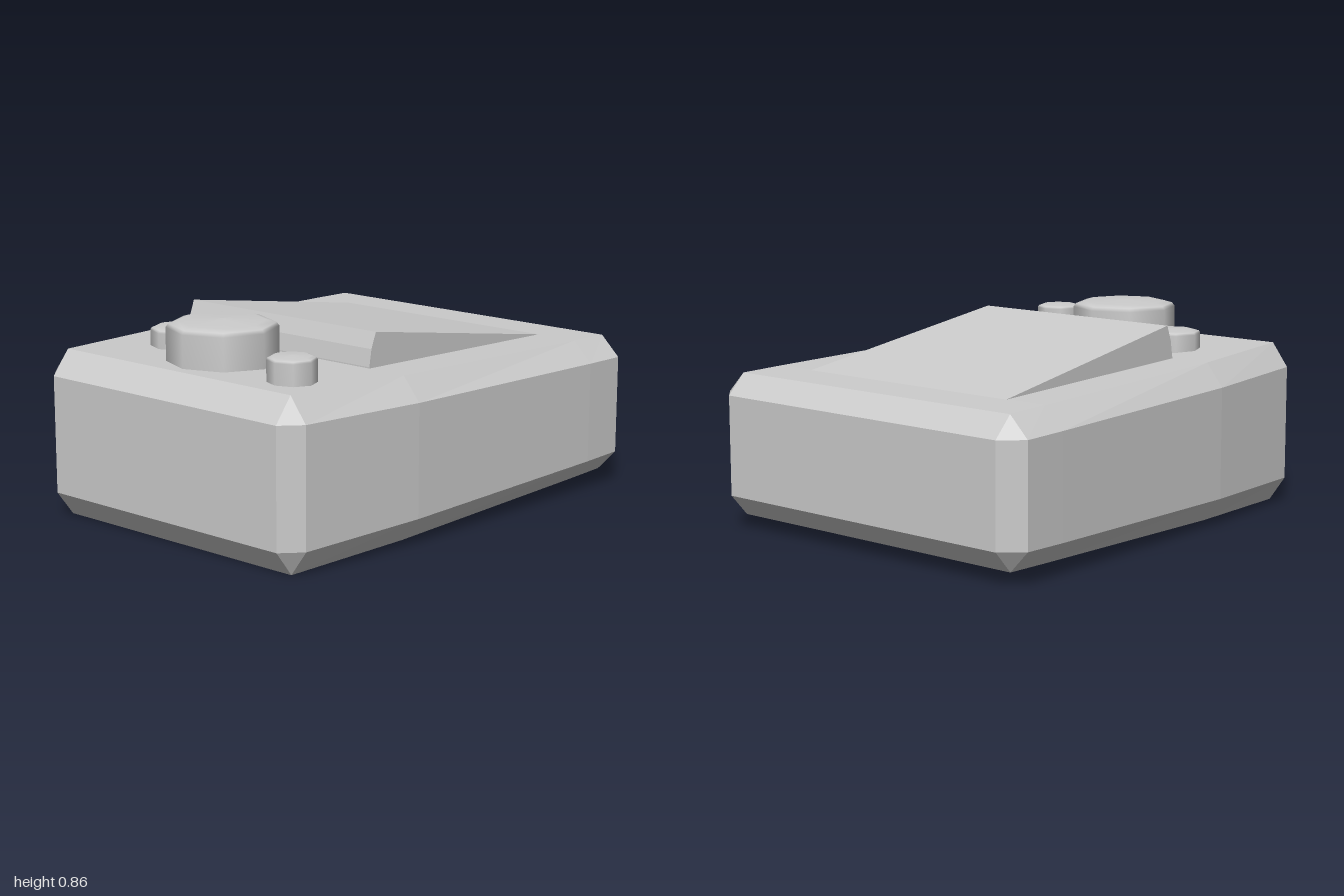
import * as THREE from 'three';

const grey = new THREE.MeshStandardMaterial({ color: 0xcccccc });
const flatGrey = new THREE.MeshStandardMaterial({ color: 0xcccccc, flatShading: true });

// Skin rings of points (counter-clockwise seen from the front, ordered front to back) and cap both ends
function loft(rings) {
  const out = [];
  const tri = (a, b, c) => {
    const area = new THREE.Triangle(a, b, c).getArea();
    if (area > 1e-7) for (const p of [a, b, c]) out.push(p.x, p.y, p.z);
  };
  const n = rings[0].length;
  for (let i = 0; i < rings.length - 1; i++) {
    for (let j = 0; j < n; j++) {
      const k = (j + 1) % n;
      const [a, b, c, d] = [rings[i][j], rings[i][k], rings[i + 1][k], rings[i + 1][j]];
      tri(a, d, c);
      tri(a, c, b);
    }
  }
  const first = rings[0], last = rings[rings.length - 1];
  for (let j = 1; j < n - 1; j++) {
    tri(first[0], first[j], first[j + 1]);
    tri(last[0], last[j + 1], last[j]);
  }
  const geo = new THREE.BufferGeometry();
  geo.setAttribute('position', new THREE.Float32BufferAttribute(out, 3));
  geo.computeVertexNormals();
  return geo;
}

// Mirror the right half of a ring (listed bottom to top) to close it
function mirrorRing(half, z) {
  const right = half.map(([x, y]) => new THREE.Vector3(x, y, z));
  const left = half.map(([x, y]) => new THREE.Vector3(-x, y, z)).reverse();
  return [...right, ...left];
}

// Chamfered section: inner and outer half width, bottom, lower edge, upper edge, top
const section = (z, inner, outer, yb, y1, y2, yt) =>
  mirrorRing([[inner, yb], [outer, y1], [outer, y2], [inner, yt]], z);

function addMesh(group, name, geometry, material) {
  const mesh = new THREE.Mesh(geometry, material);
  mesh.name = name;
  group.add(mesh);
  return mesh;
}

// Eight-sided, softly domed knob
function addKnob(group, name, x, z, radius, top, dome) {
  const base = 0.62;
  const profile = [
    [radius, base],
    [radius, top - dome * 1.1],
    [radius * 0.95, top - dome * 0.6],
    [radius * 0.78, top - dome * 0.25],
    [0, top],
  ].map(([r, y]) => new THREE.Vector2(r, y));
  addMesh(group, name, new THREE.LatheGeometry(profile, 8), grey).position.set(x, 0, z);
}

export function createModel() {
  const model = new THREE.Group();
  model.name = 'handheldConsole';

  // Tapered body; the end sections collapse to rectangles to form the corner chamfers
  addMesh(model, 'body', loft([
    section(1.0, 0.605, 0.605, 0.105, 0.105, 0.59, 0.59),
    section(0.92, 0.605, 0.68, 0, 0.105, 0.59, 0.69),
    section(0.35, 0.672, 0.75, 0.016, 0.116, 0.579, 0.675),
    section(-0.72, 0.72, 0.805, 0.045, 0.136, 0.559, 0.646),
    section(-0.92, 0.725, 0.81, 0.05, 0.14, 0.555, 0.64),
    section(-1.0, 0.725, 0.725, 0.14, 0.14, 0.555, 0.555),
  ]), flatGrey);

  // Sloping screen wedge: z, half width, top height
  const wedge = [[0.347, 0.497, 0.68], [0.335, 0.497, 0.75], [0.31, 0.498, 0.815], [-0.73, 0.533, 0.645]];
  addMesh(model, 'screenWedge',
    loft(wedge.map(([z, w, y]) => mirrorRing([[w, 0.6], [w, y]], z))), flatGrey);

  // Control knobs
  addKnob(model, 'largeKnob', 0, 0.65, 0.223, 0.855, 0.03);
  addKnob(model, 'rightKnob', -0.345, 0.545, 0.12, 0.767, 0.018);
  addKnob(model, 'leftKnob', 0.452, 0.743, 0.097, 0.79, 0.016);

  return model;
}
